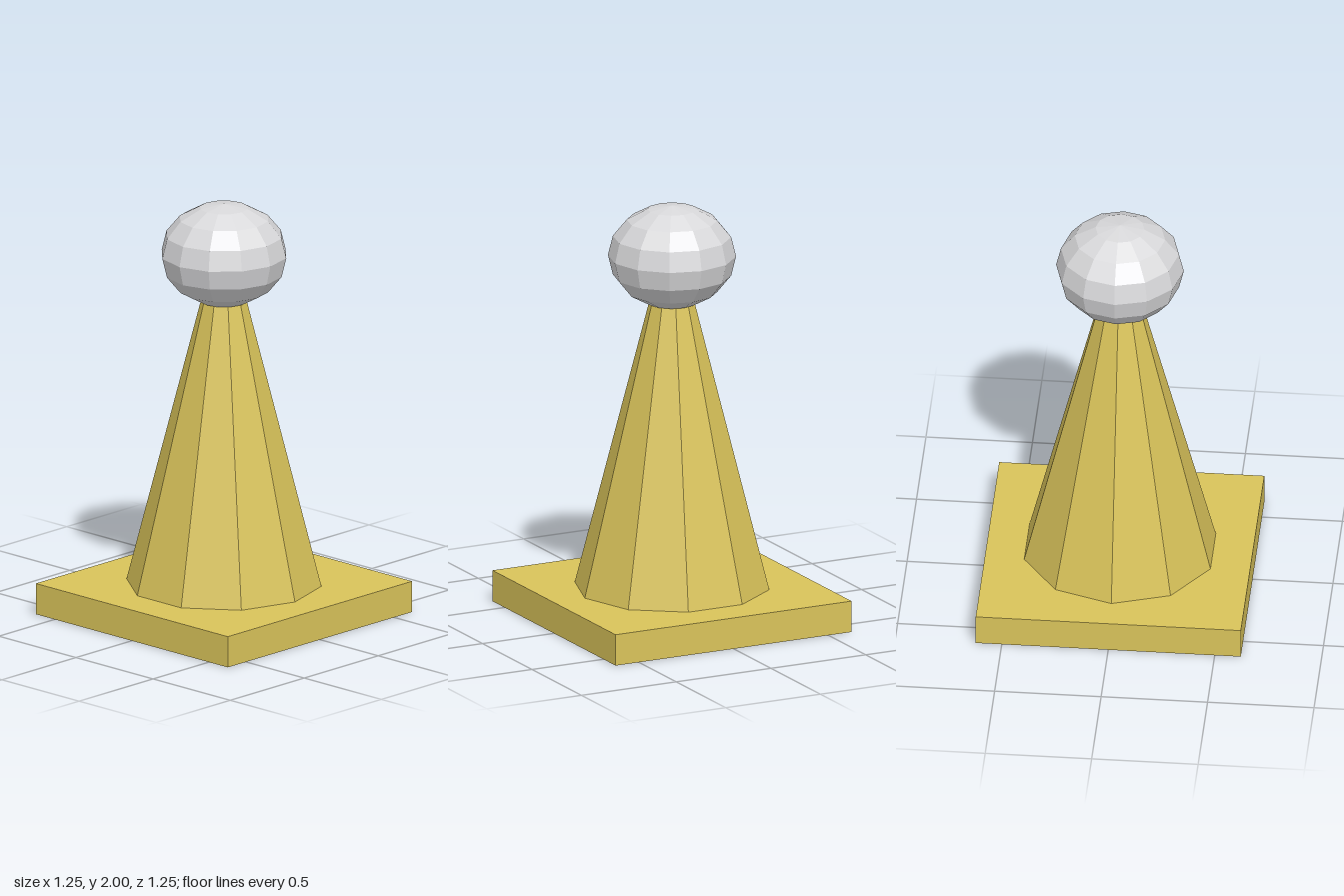
import * as THREE from 'three';

export function createModel() {
  const gold = new THREE.MeshStandardMaterial({ color: 0xd9c35a });
  gold.name = 'gold';
  const silver = new THREE.MeshStandardMaterial({ color: 0xd8d8da });
  silver.name = 'silver';

  const model = new THREE.Group();
  model.name = 'ballToppedCone';

  // Convert to separate faces so every facet stays flat
  const add = (name, geometry, material, y) => {
    const flat = geometry.index ? geometry.toNonIndexed() : geometry;
    flat.computeVertexNormals();
    const mesh = new THREE.Mesh(flat, material);
    mesh.name = name;
    mesh.position.y = y;
    model.add(mesh);
  };

  // Square plinth
  add('base', new THREE.BoxGeometry(1.245, 0.15, 1.245), gold, 0.075);

  // Ten-sided cone, sunk into the plinth, its tip hidden inside the ball
  const sunk = 0.02;
  const tip = 1.95;
  const radius = 0.46 * (tip - sunk) / (tip - 0.15);
  add('cone', new THREE.ConeGeometry(radius, tip - sunk, 10), gold, (tip + sunk) / 2);

  // Slightly flattened faceted ball
  const ball = new THREE.SphereGeometry(0.3, 12, 8).scale(1, 0.245 / 0.3, 1);
  add('ball', ball, silver, 1.755);

  return model;
}
